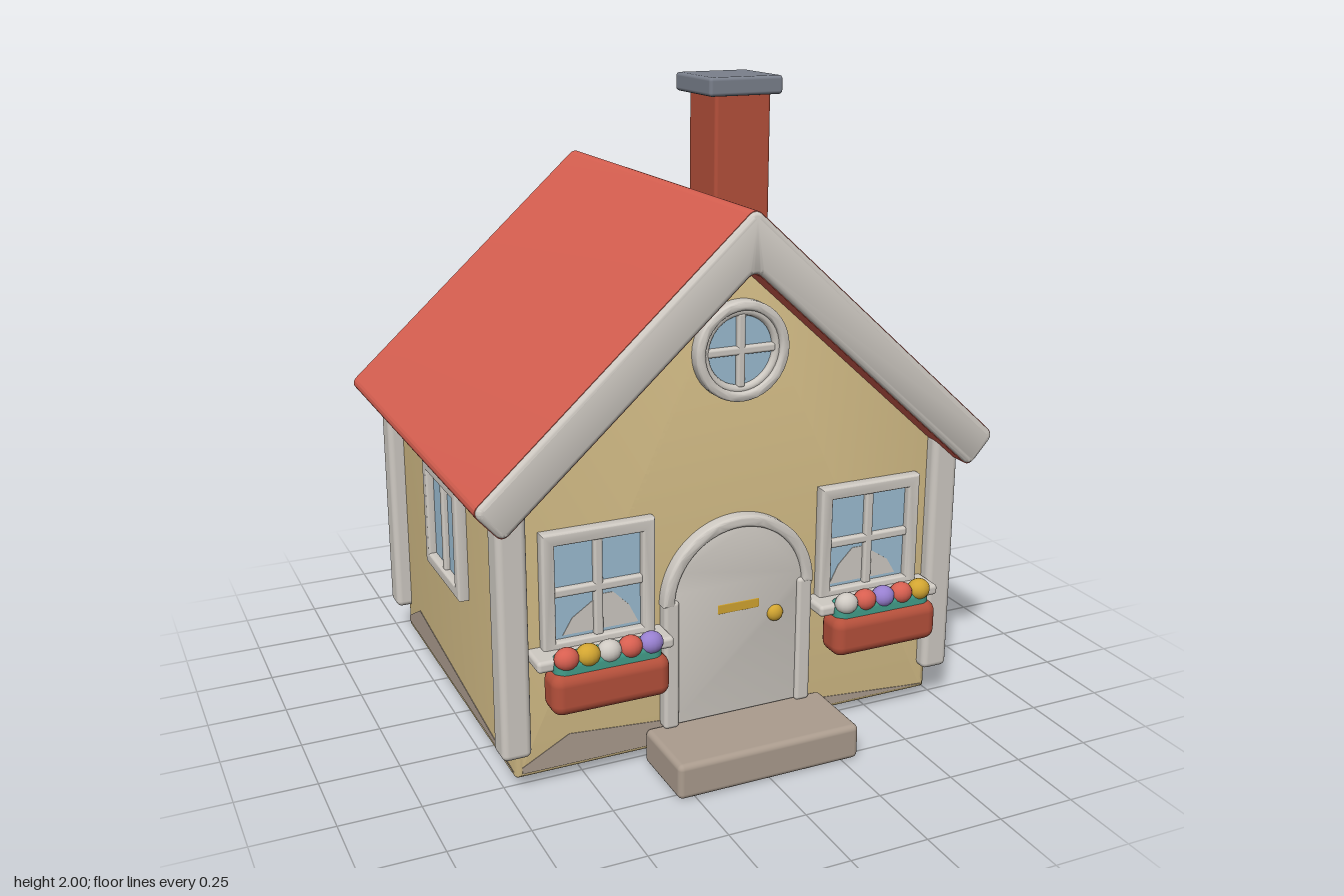
import * as THREE from 'three';
import { toCreasedNormals } from 'three/addons/utils/BufferGeometryUtils.js';
import { RoundedBoxGeometry } from 'three/addons/geometries/RoundedBoxGeometry.js';

const paint = (name, color) => Object.assign(new THREE.MeshStandardMaterial({ color }), { name });
const M = {
  wall: paint('tan wall', 0xd3bc86),
  trim: paint('pale trim', 0xcfcac3),
  roof: paint('roof red', 0xd75f50),
  brick: paint('brick red', 0xb5503b),
  glass: paint('window blue', 0x9cbdd2),
  door: paint('door teal', 0x429e8b),
  gold: paint('gold', 0xd2a531),
  slate: paint('slate grey', 0x7a808c),
  stone: paint('stone', 0xab9c8e),
  purple: paint('petal purple', 0x9880d0),
};

function add(parent, name, geometry, material, x = 0, y = 0, z = 0) {
  const mesh = new THREE.Mesh(geometry, material);
  mesh.name = name;
  mesh.position.set(x, y, z);
  parent.add(mesh);
  return mesh;
}

function group(parent, name, x = 0, y = 0, z = 0) {
  const g = new THREE.Group();
  g.name = name;
  g.position.set(x, y, z);
  parent.add(g);
  return g;
}

const box = (w, h, d, r = 0.015) => new RoundedBoxGeometry(w, h, d, 3, r);

// closed outline with softened corners
function outline(points, r = 0) {
  const s = new THREE.Shape();
  const P = points.map(([x, y]) => new THREE.Vector2(x, y));
  P.forEach((p, i) => {
    const toward = q => p.clone().add(q.clone().sub(p).setLength(r));
    const a = toward(P[(i + P.length - 1) % P.length]);
    const b = toward(P[(i + 1) % P.length]);
    i ? s.lineTo(a.x, a.y) : s.moveTo(a.x, a.y);
    if (r) s.quadraticCurveTo(p.x, p.y, b.x, b.y);
  });
  s.closePath();
  return s;
}

// extrusion from z0 to z1, with the bevel kept inside the outline
function slab(shape, z0, z1, bevel = 0) {
  const g = new THREE.ExtrudeGeometry(shape, {
    depth: z1 - z0 - 2 * bevel, bevelEnabled: bevel > 0, bevelSize: bevel,
    bevelThickness: bevel, bevelOffset: -bevel, bevelSegments: 4, curveSegments: 20,
  });
  g.translate(0, 0, z0 + bevel);
  return toCreasedNormals(g, 0.6);
}

const rect = (w, h) => outline([[-w / 2, -h / 2], [w / 2, -h / 2], [w / 2, h / 2], [-w / 2, h / 2]]);

function arch(r, y0, y1) {
  const s = new THREE.Shape();
  s.moveTo(-r, y0);
  s.lineTo(r, y0);
  s.lineTo(r, y1);
  s.absarc(0, y1, r, 0, Math.PI, false);
  s.closePath();
  return s;
}

// framed window; crossBar adds the horizontal glazing bar
function makeWindow(parent, name, w, h, x, y, z, crossBar) {
  const g = group(parent, name, x, y, z);
  const frame = rect(w, h);
  frame.holes.push(rect(w - 0.08, h - 0.08));
  add(g, 'windowFrame', slab(frame, -0.02, 0.035, 0.008), M.trim);
  add(g, 'windowGlass', new THREE.BoxGeometry(w - 0.07, h - 0.07, 0.009), M.glass, 0, 0, 0.005);
  add(g, 'uprightBar', box(0.028, h - 0.07, 0.03, 0.008), M.trim, 0, 0, 0.012);
  if (crossBar) add(g, 'crossBar', box(w - 0.07, 0.028, 0.03, 0.008), M.trim, 0, 0, 0.012);
  return g;
}

function flowerBox(parent, side) {
  const g = group(parent, side > 0 ? 'leftFlowerBox' : 'rightFlowerBox', 0.463 * side, 0, 0);
  add(g, 'windowSill', box(0.43, 0.036, 0.11, 0.012), M.trim, 0, 0.433, 0.575);
  add(g, 'planter', box(0.37, 0.13, 0.11, 0.035), M.brick, 0, 0.352, 0.625);
  add(g, 'foliage', box(0.335, 0.085, 0.08, 0.03), M.door, 0, 0.42, 0.622);
  const petals = side > 0
    ? [M.trim, M.roof, M.purple, M.roof, M.gold]
    : [M.roof, M.gold, M.trim, M.roof, M.purple];
  petals.forEach((m, i) => {
    const f = add(g, 'flower', new THREE.SphereGeometry(0.036, 16, 12), m, (i - 2) * 0.066, 0.456, 0.642);
    f.scale.set(1.05, 0.95, 0.9);
  });
}

export function createModel() {
  const model = new THREE.Group();
  model.name = 'cottage';
  const front = 0.53, back = -0.67, midZ = -0.07;

  // gabled house body
  const body = outline([[-0.72, 0.03], [0.72, 0.03], [0.72, 0.95], [0, 1.6], [-0.72, 0.95]], 0.015);
  add(model, 'houseBody', slab(body, back, front, 0.025), M.wall);

  // stone-coloured wedge at the foot of every wall
  for (let i = 0; i < 4; i++) {
    const wall = group(model, 'wallFoot', 0, 0, midZ);
    wall.rotation.y = i * Math.PI / 2;
    const w = i % 2 ? 0.58 : 0.7, d = i % 2 ? 0.72 : 0.6;
    const wedge = outline([[-w, 0.05], [w, 0.05], [0.25 * w, 0.093], [-w + 0.15, 0.15], [-w, 0.07]]);
    add(wall, 'footPatch', slab(wedge, d - 0.003, d + 0.002), M.stone);
  }

  // corner posts
  for (const x of [-0.725, 0.725]) for (const z of [0.525, -0.665]) {
    add(model, 'cornerPost', box(0.092, 0.81, 0.092, 0.02), M.trim, x, 0.525, z);
  }

  // roof: red covering with pale bevelled gable ends
  const chevron = inset => outline([
    [0, 1.712 - inset], [-0.858 + inset, 0.934], [-0.77, 0.836 + inset],
    [0, 1.53 + inset], [0.77, 0.836 + inset], [0.858 - inset, 0.934],
  ], 0.03);
  add(model, 'roofCovering', slab(chevron(0), -0.775, 0.625), M.roof);
  add(model, 'frontGableTrim', slab(chevron(0.002), 0.58, 0.64, 0.018), M.trim);
  add(model, 'backGableTrim', slab(chevron(0.002), -0.79, -0.73, 0.018), M.trim);

  // chimney
  add(model, 'chimneyStack', box(0.205, 0.63, 0.205, 0.012), M.brick, 0.362, 1.637, -0.263);
  add(model, 'chimneyCap', box(0.27, 0.062, 0.27, 0.012), M.slate, 0.36, 1.969, -0.268);

  // front windows, each with a pale patch on the lower panes and a flower box
  for (const side of [-1, 1]) {
    const w = makeWindow(model, side > 0 ? 'leftWindow' : 'rightWindow', 0.355, 0.38, 0.458 * side, 0.62, front, true);
    const curtain = outline([[-0.13, -0.14], [0.11, -0.14], [0.08, -0.09], [-0.01, -0.03], [-0.05, -0.03], [-0.1, -0.08]]
      .map(([x, y]) => [x * side, y]));
    add(w, 'glassPatch', slab(curtain, 0.009, 0.0115), M.trim);
    flowerBox(model, side);
  }

  // side windows
  for (const side of [-1, 1]) {
    const w = makeWindow(model, 'sideWindow', 0.365, 0.37, 0.72 * side, 0.628, midZ, false);
    w.rotation.y = side * Math.PI / 2;
  }

  // round attic window
  const attic = group(model, 'roundWindow', 0, 1.28, front);
  const ring = new THREE.Shape().absarc(0, 0, 0.152, 0, Math.PI * 2, false);
  ring.holes.push(new THREE.Path().absarc(0, 0, 0.122, 0, Math.PI * 2, true));
  add(attic, 'roundFrame', slab(ring, -0.01, 0.04, 0.01), M.trim);
  add(attic, 'innerRing', new THREE.TorusGeometry(0.118, 0.014, 10, 40), M.trim, 0, 0, 0.012);
  add(attic, 'roundGlass', new THREE.CircleGeometry(0.12, 40), M.glass, 0, 0, 0.008);
  add(attic, 'uprightBar', box(0.026, 0.225, 0.024, 0.008), M.trim, 0, 0, 0.012);
  add(attic, 'crossBar', box(0.225, 0.026, 0.024, 0.008), M.trim, 0, 0, 0.012);

  // arched doorway
  const door = group(model, 'doorway', 0, 0, front);
  const surround = arch(0.23, 0.115, 0.515);
  surround.holes.push(arch(0.2, 0.125, 0.515));
  const casing = new THREE.Shape();
  casing.moveTo(0.255, 0.515);
  casing.absarc(0, 0.515, 0.255, 0, Math.PI, false);
  casing.lineTo(-0.218, 0.515);
  casing.absarc(0, 0.515, 0.218, Math.PI, 0, true);
  casing.closePath();
  add(door, 'doorPanel', slab(arch(0.205, 0.1, 0.515), -0.02, 0.012), M.door);
  add(door, 'innerArch', slab(surround, -0.02, 0.025, 0.006), M.trim);
  add(door, 'outerArch', slab(casing, -0.02, 0.04, 0.01), M.trim);
  for (const x of [-0.227, 0.227]) add(door, 'doorJamb', box(0.05, 0.42, 0.06, 0.012), M.trim, x, 0.32, 0.008);
  add(door, 'mailSlot', box(0.145, 0.034, 0.02, 0.005), M.gold, 0, 0.472, 0.016);
  const knob = add(door, 'doorKnob', new THREE.SphereGeometry(0.027, 20, 14), M.gold, 0.127, 0.427, 0.025);
  knob.scale.z = 0.7;

  // doorstep
  add(model, 'doorstep', box(0.61, 0.113, 0.255, 0.018), M.stone, 0, 0.0565, 0.66);
  return model;
}
